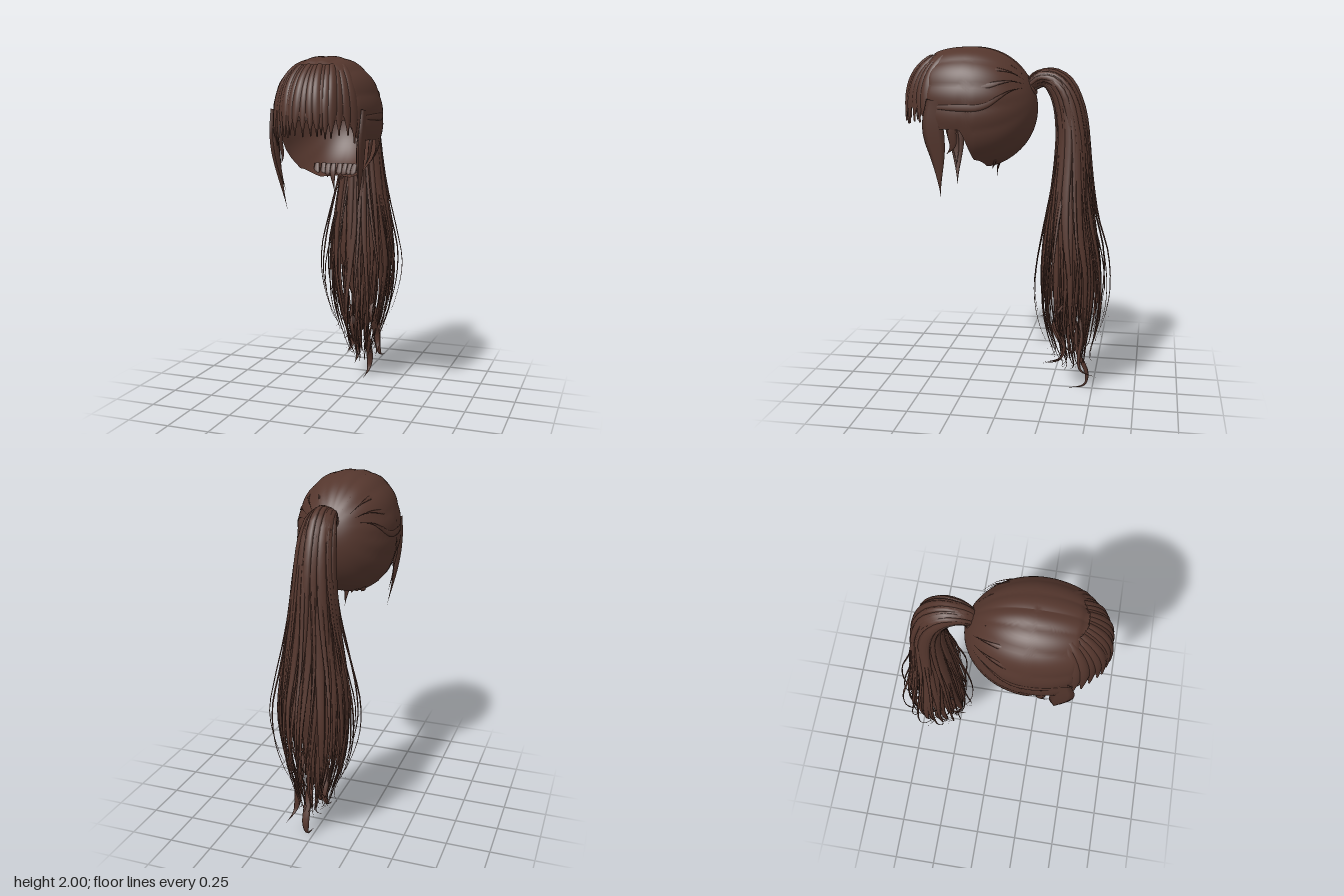
import * as THREE from 'three';
import { mergeVertices, mergeGeometries } from 'three/addons/utils/BufferGeometryUtils.js';

const V = (x, y, z) => new THREE.Vector3(x, y, z);
const X = V(1, 0, 0);
const { clamp, smoothstep, lerp } = THREE.MathUtils;

let seed = 7;
const rand = (a = 0, b = 1) => {
  seed = (seed * 16807) % 2147483647;
  return a + (b - a) * seed / 2147483647;
};

// Grid surface from a rule fn(u, v), both running 0..1
function sheet(nu, nv, fn) {
  const pos = [], index = [];
  for (let j = 0; j <= nv; j++)
    for (let i = 0; i <= nu; i++) pos.push(...fn(i / nu, j / nv).toArray());
  for (let j = 0; j < nv; j++)
    for (let i = 0; i < nu; i++) {
      const a = j * (nu + 1) + i, b = a + nu + 1;
      index.push(a, b, a + 1, a + 1, b, b + 1);
    }
  const g = new THREE.BufferGeometry();
  g.setAttribute('position', new THREE.Float32BufferAttribute(pos, 3));
  g.setIndex(index);
  const merged = mergeVertices(g, 1e-5);
  merged.computeVertexNormals();
  return merged;
}

// Tapered lock with a flat oval section; side(v) gives the width direction
function lock(points, side, width, depth, root = 0.6, segments = 22) {
  const curve = new THREE.CatmullRomCurve3(points);
  return sheet(6, segments, (u, v) => {
    const p = curve.getPoint(v), t = curve.getTangent(v);
    const w = side(v).clone().addScaledVector(t, -side(v).dot(t)).normalize();
    const n = t.clone().cross(w);
    const s = lerp(root, 1, smoothstep(v, 0, 0.35)) * Math.pow(1 - smoothstep(v, 0.4, 1), 0.8) + 0.01;
    const a = -u * Math.PI * 2;
    return p.addScaledVector(w, Math.cos(a) * width * s).addScaledVector(n, Math.sin(a) * depth * s);
  });
}

// Skull form: phi is 0 at the front, c is height from -1 to 1
const CY = 1.66, RY = 0.332;
function skull(phi, c, lift = 0) {
  const f = Math.cos(phi), n = 2.25 + 0.25 * f;
  const h = Math.pow(Math.max(0, 1 - Math.pow(Math.abs(c), n)), 1 / n);
  return V((0.275 + lift) * h * Math.sin(phi), CY + (RY + lift) * c,
    0.2 + ((f > 0 ? 0.39 : 0.352) + lift) * h * f);
}

// Lower hairline of the cap
function hairline(phi) {
  const d = Math.abs(phi) * 180 / Math.PI;
  const front = lerp(1.67, 1.565, smoothstep(d, 42, 60));
  return front - 0.17 * smoothstep(d, 84, 98) - 0.045 * smoothstep(d, 98, 130);
}

function capGeometry() {
  return sheet(144, 44, (u, v) => {
    const phi = (u * 2 - 1) * Math.PI;
    const c = Math.cos(v * Math.acos((hairline(phi) - CY) / RY));
    const p = skull(phi, c);
    // grooves gather towards the tail root
    const a = Math.atan2(p.x, p.y - 1.76);
    const groove = 0.005 * Math.abs(Math.sin(a * 7 + 0.6 * Math.sin(a * 3)));
    const step = 0.008 * (1 - smoothstep(p.z, 0.4, 0.43));
    return skull(phi, c, groove * smoothstep(p.z, -0.16, 0.05) + step);
  });
}

// Fringe lock lying on the skull, ending in a point at height hem
function fringeLock(phi, half, hem, lift) {
  const c0 = 0.86, c1 = (hem - CY) / RY;
  return sheet(6, 16, (u, v) => {
    const e = u * 2 - 1;
    const w = half * lerp(1.1, 1, v) * (1 - 0.85 * Math.pow(smoothstep(v, 0.6, 1), 1.5));
    const c = lerp(c0, c1, Math.pow(v, 1.15));
    return skull(phi + e * w + 0.05 * v * Math.sin(phi * 9), c, lift + 0.009 * (1 - e * e));
  });
}

// Tail: centre line and section radii at matching stations
const stations = [
  [1.78, -0.105, 0.04, 0.035], [1.835, -0.2, 0.065, 0.05], [1.78, -0.295, 0.09, 0.07],
  [1.6, -0.355, 0.105, 0.082], [1.35, -0.365, 0.13, 0.1], [1.05, -0.36, 0.175, 0.135],
  [0.75, -0.375, 0.205, 0.175], [0.5, -0.37, 0.18, 0.18], [0.3, -0.375, 0.12, 0.14], [0.14, -0.39, 0.06, 0.09],
];
const tailLine = new THREE.CatmullRomCurve3(stations.map(s => V(0, s[0], s[1])));
const tailSize = new THREE.CatmullRomCurve3(stations.map(s => V(s[2], s[3], 0)));
function tail(t, a, r) {
  t = clamp(t, 0, 1);
  const size = tailSize.getPoint(t), n = X.clone().cross(tailLine.getTangent(t));
  return tailLine.getPoint(t).addScaledVector(X, size.x * r * Math.cos(a))
    .addScaledVector(n, size.y * r * Math.sin(a));
}

function tailLock(angle, radius, end, width, depth, stray = 0) {
  const phase = rand(0, 6), sway = rand(0.1, 0.3), flick = rand(-0.05, 0.05);
  const at = (t, da = 0) => tail(t,
    angle + da + sway * t * Math.sin(6 * t + phase),
    radius * (1 + 0.06 * Math.sin(9 * t + phase)) + stray * Math.exp(-(((t - 0.68) / 0.17) ** 2)));
  const points = [];
  for (let i = 0; i <= 11; i++) points.push(at(end * i / 11));
  const last = points[11];
  points.push(V(last.x + flick, last.y - 0.035, last.z + rand(-0.05, 0.05)));
  return lock(points, v => at(end * v, 0.03).sub(at(end * v, -0.03)), width, depth, 0.45, 32);
}

export function createModel() {
  const model = new THREE.Group();
  const hair = new THREE.MeshStandardMaterial({ color: 0x54362d, side: THREE.DoubleSide });
  hair.name = 'brown hair';
  const add = (name, ...geometries) => {
    const mesh = new THREE.Mesh(geometries.length > 1 ? mergeGeometries(geometries) : geometries[0], hair);
    mesh.name = name;
    model.add(mesh);
  };

  add('scalpCap', capGeometry());

  // Overlapping fringe locks, longer at the temples
  const fringe = [];
  for (let i = 0; i < 19; i++) {
    const k = i / 9 - 1, temple = smoothstep(Math.abs(k), 0.8, 1);
    fringe.push(fringeLock(k * 1.0, 0.085, 1.585 + rand(-0.015, 0.02) - 0.04 * temple, (i % 3) * 0.003));
  }
  add('fringe', ...fringe);

  // Combed strands over the crown, running back to the tail root
  const combed = [];
  for (const a of [-1.5, -1.1, -0.75, -0.4, -0.1, 0.12, 0.45, 0.8, 1.15, 1.5]) {
    const points = [];
    for (let i = 0; i <= 8; i++) {
      const z = lerp(0.38, -0.1, i / 8), f = (z - 0.2) / (z > 0.2 ? 0.4 : 0.358);
      const s = Math.sqrt(1 - f * f), up = 0.12 * smoothstep(i / 8, 0.5, 1);
      points.push(V(0.284 * s * Math.sin(a), CY + up * (1 - Math.cos(a)) + 0.338 * s * Math.cos(a), z));
    }
    combed.push(lock(points, () => V(Math.cos(a), -Math.sin(a), 0), 0.022, 0.005));
  }
  add('combedStrands', ...combed);

  // Face-framing locks and small curls before the ears
  for (const s of [1, -1]) {
    const tipX = s > 0 ? 0.215 : 0.19, name = s > 0 ? 'left' : 'right';
    const along = () => V(0, 0, 1);
    add(name + 'SideLock',
      lock([V(s * 0.255, 1.72, 0.37), V(s * 0.25, 1.58, 0.385), V(s * 0.235, 1.4, 0.365), V(s * tipX, 1.18, 0.355)],
        along, 0.06, 0.012, 0.8),
      lock([V(s * 0.25, 1.66, 0.4), V(s * 0.235, 1.53, 0.395), V(s * 0.225, 1.4, 0.37), V(s * (tipX + 0.005), 1.28, 0.36)],
        along, 0.03, 0.01));
    add(name + 'EarCurl',
      lock([V(s * 0.27, 1.64, 0.25), V(s * 0.262, 1.55, 0.275), V(s * 0.25, 1.47, 0.275), V(s * 0.24, 1.42, 0.315)],
        along, 0.025, 0.008));
  }

  // Loose wisps at the nape
  const wisps = [];
  for (let i = 0; i < 9; i++) {
    const x = lerp(-0.13, 0.13, i / 8), z = 0.02 + 1.5 * x * x + rand(0, 0.03);
    wisps.push(lock([V(x, 1.41, z), V(x * 0.95, 1.36, z + 0.02), V(x + rand(-0.02, 0.02), i === 3 ? 1.25 : rand(1.3, 1.35), z + 0.03)],
      () => X, 0.018, 0.006, 0.8, 10));
  }
  add('napeWisps', ...wisps);

  // Wrapped band at the tail root
  const band = new THREE.TorusGeometry(0.04, 0.014, 8, 24);
  band.rotateX(0.5);
  band.translate(0, 1.785, -0.125);
  add('tailBand', band);

  // Grooved inner mass of the tail
  add('tailCore', sheet(48, 48, (u, v) => {
    const a = -u * Math.PI * 2;
    const r = (0.86 + 0.06 * Math.sin(a * 9 + 4 * v)) * (1 - 0.9 * smoothstep(v, 0.62, 1));
    return tail(v * 0.88, a, r);
  }));

  // Outer locks cover the mass, inner ones fill the ragged ends
  const outer = [], inner = [], strays = [];
  for (let i = 0; i < 46; i++)
    outer.push(tailLock(i / 46 * Math.PI * 2, rand(0.88, 1.02), rand(0.78, 0.98), rand(0.016, 0.03), 0.009));
  for (let i = 0; i < 26; i++)
    inner.push(tailLock(i * 2.4, rand(0.3, 0.8), rand(0.86, 1), rand(0.018, 0.03), 0.012));
  for (let i = 0; i < 16; i++)
    strays.push(tailLock(i / 16 * Math.PI * 2 + 0.15, 0.98, rand(0.76, 0.92), rand(0.008, 0.014), 0.005, rand(0.18, 0.34)));
  add('tailOuterLocks', ...outer);
  add('tailInnerLocks', ...inner);
  add('tailStrays', ...strays);

  // Curled tips hanging lowest
  const tip = (x, y, z, dx, dz) => lock([V(x * 0.6, y + 0.42, -0.4), V(x, y + 0.25, z + 0.02), V(x + dx * 0.3, y + 0.1, z - dz * 0.5),
    V(x + dx * 0.6, y + 0.03, z - dz * 0.3), V(x + dx, y, z + dz)], () => X, 0.022, 0.012);
  add('tailTips', tip(0.03, 0, -0.43, -0.01, 0.08), tip(0.08, 0.12, -0.46, 0.04, -0.07),
    tip(-0.05, 0.17, -0.36, -0.03, 0.06), tip(0.1, 0.2, -0.3, 0.04, 0.08), tip(-0.02, 0.14, -0.28, 0.03, 0.08));

  return model;
}
